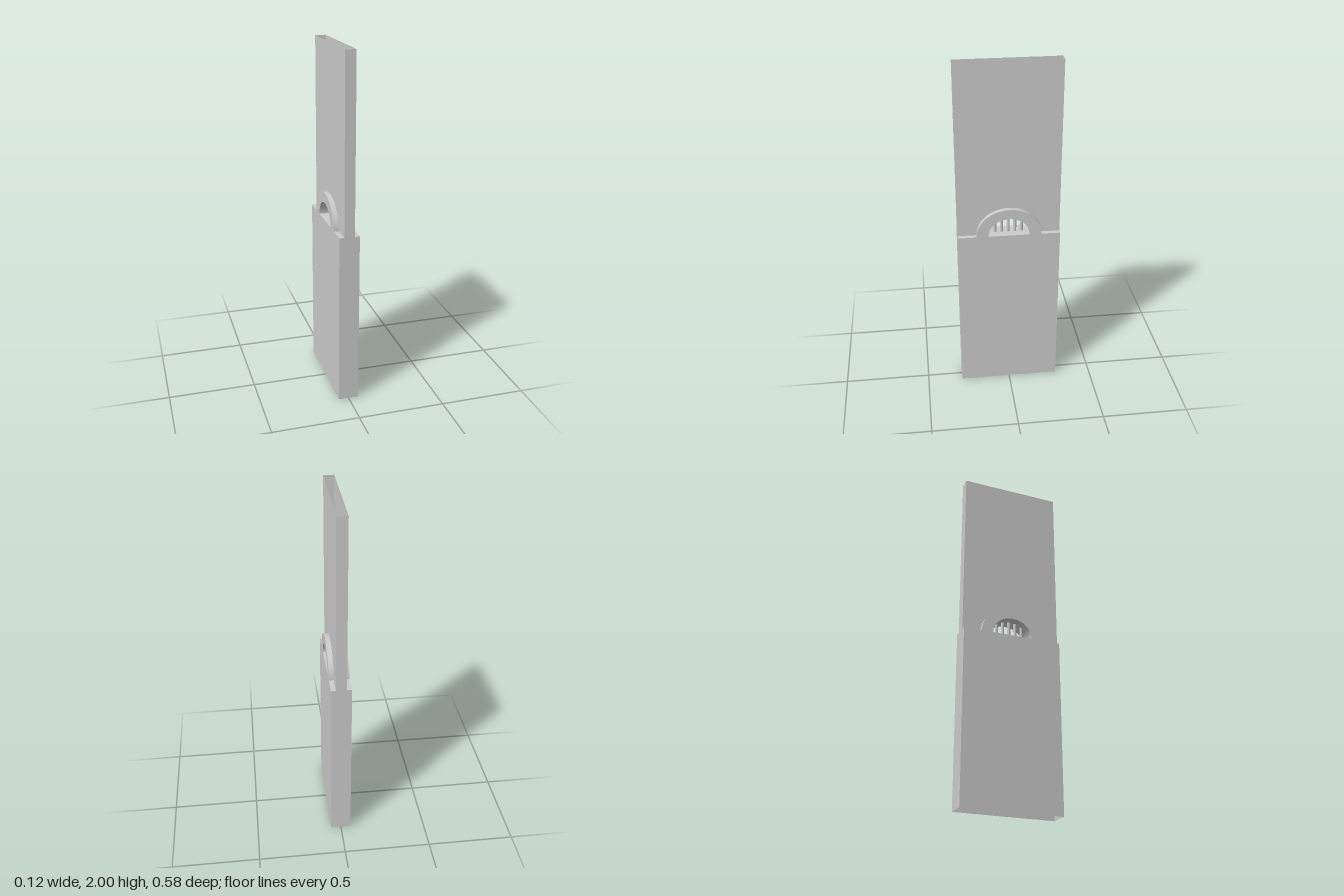
import * as THREE from 'three';
import { toCreasedNormals } from 'three/addons/utils/BufferGeometryUtils.js';

const HALF_W = 0.291;          // half width of the wall, along z
const SILL = 1.0;              // top of the thick lower wall
const TOP = 2.0;
const LOWER_X = 0.058, UPPER_X = 0.03;
const OUTER = [0.185, 0.162], INNER = [0.118, 0.105]; // arch half width and rise

const solid = new THREE.MeshStandardMaterial({ color: 0xcccccc });
const sheet = new THREE.MeshStandardMaterial({ color: 0xcccccc, side: THREE.DoubleSide });

function add(parent, name, geometry, material) {
  const mesh = new THREE.Mesh(geometry, material);
  mesh.name = name;
  parent.add(mesh);
  return mesh;
}

// Half ellipse drawn from +a to -a, standing on the sill
function archCurve(path, [a, b], reverse = false) {
  if (reverse) path.absellipse(0, SILL, a, b, Math.PI, 0, true);
  else path.absellipse(0, SILL, a, b, 0, Math.PI, false);
}

// Narrow sheet closing the front or back edge of a wall
function addEnds(parent, halfX, y0, y1) {
  for (const s of [1, -1]) {
    const g = new THREE.PlaneGeometry(2 * halfX, y1 - y0);
    if (s < 0) g.rotateY(Math.PI);
    g.translate(0, (y0 + y1) / 2, s * HALF_W);
    add(parent, s > 0 ? 'frontEnd' : 'backEnd', g, sheet);
  }
}

// Thick lower wall: hollow, open underneath, closed by a sill
function lowerWall() {
  const group = new THREE.Group();
  group.name = 'lowerWall';
  for (const s of [1, -1]) {
    const g = new THREE.PlaneGeometry(2 * HALF_W, SILL);
    g.rotateY(s * Math.PI / 2).translate(s * LOWER_X, SILL / 2, 0);
    add(group, s > 0 ? 'leftFace' : 'rightFace', g, sheet);
  }
  addEnds(group, LOWER_X, 0, SILL);
  const sill = new THREE.PlaneGeometry(2 * LOWER_X, 2 * HALF_W);
  add(group, 'sill', sill.rotateX(-Math.PI / 2).translate(0, SILL, 0), sheet);
  return group;
}

// Thin upper wall: hollow, open on top, cut out around the arch
function upperWall() {
  const group = new THREE.Group();
  group.name = 'upperWall';
  const shape = new THREE.Shape();
  shape.moveTo(-HALF_W, SILL);
  shape.lineTo(-OUTER[0], SILL);
  archCurve(shape, OUTER, true);
  shape.lineTo(HALF_W, SILL);
  shape.lineTo(HALF_W, TOP);
  shape.lineTo(-HALF_W, TOP);
  shape.closePath();
  for (const s of [1, -1]) {
    const g = new THREE.ShapeGeometry(shape, 40);
    g.rotateY(s * Math.PI / 2).translate(s * UPPER_X, 0, 0);
    add(group, s > 0 ? 'leftFace' : 'rightFace', g, sheet);
  }
  addEnds(group, UPPER_X, SILL, TOP);
  return group;
}

// Curved surround standing on the sill
function archSurround() {
  const shape = new THREE.Shape();
  shape.moveTo(OUTER[0], SILL);
  archCurve(shape, OUTER);
  shape.lineTo(-INNER[0], SILL);
  archCurve(shape, INNER, true);
  shape.closePath();
  const g = new THREE.ExtrudeGeometry(shape, { depth: 2 * LOWER_X, bevelEnabled: false, curveSegments: 40 });
  g.translate(0, 0, -LOWER_X).rotateY(Math.PI / 2);
  return toCreasedNormals(g, 0.6);
}

export function createModel() {
  const model = new THREE.Group();
  model.name = 'wallWithArchedWindow';
  model.add(lowerWall(), upperWall());
  add(model, 'archSurround', archSurround(), solid);

  // Upright round bars, each reaching up into the arch
  const bars = new THREE.Group();
  bars.name = 'windowBars';
  for (let i = -2; i <= 2; i++) {
    const z = i * 0.038;
    const h = INNER[1] * Math.sqrt(1 - (z / INNER[0]) ** 2) + 0.01;
    const bar = add(bars, 'bar', new THREE.CylinderGeometry(0.009, 0.009, h, 16), solid);
    bar.position.set(0, SILL + h / 2, z);
  }
  model.add(bars);
  return model;
}
